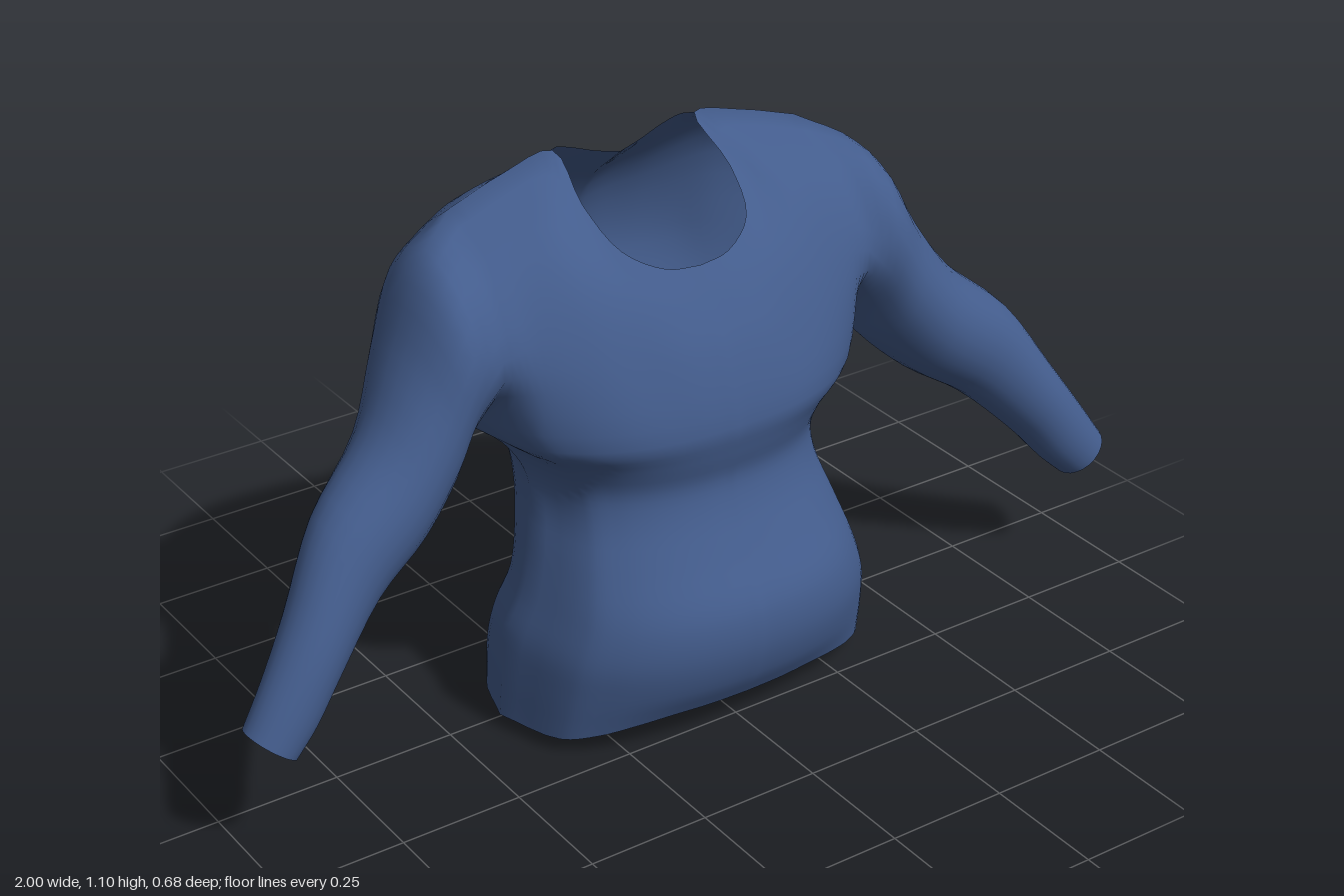
import * as THREE from 'three';
import { mergeGeometries, mergeVertices } from 'three/addons/utils/BufferGeometryUtils.js';

const STEPS = 4; // subdivisions between neighbouring control points
const V = (x, y, z) => new THREE.Vector3(x, y, z);

// Smooth samples through a list of points
function smooth(points) {
  const curve = new THREE.CatmullRomCurve3(points);
  return curve.getPoints((points.length - 1) * STEPS);
}

// Turn control rows into a finer grid, grid[row][column]
function refine(rows) {
  const wide = rows.map(smooth);
  const columns = wide[0].map((_, j) => smooth(wide.map((row) => row[j])));
  return columns[0].map((_, i) => columns.map((column) => column[i]));
}

// Skin a grid of points; flip reverses the facing
function skin(grid, flip) {
  const cols = grid[0].length;
  const index = [];
  for (let i = 0; i < grid.length - 1; i++) {
    for (let j = 0; j < cols - 1; j++) {
      const a = i * cols + j, b = a + 1, c = a + cols, d = c + 1;
      index.push(...(flip ? [a, d, b, a, c, d] : [a, b, d, a, d, c]));
    }
  }
  const geometry = new THREE.BufferGeometry().setFromPoints(grid.flat());
  return geometry.setIndex(index);
}

// Body sections from hem to armpit: height, half width, front z, back z, side z
const bodyRows = [
  [0.03, 0.405, 0.285, -0.205, 0.03],
  [0.13, 0.397, 0.318, -0.208, 0.03],
  [0.21, 0.385, 0.338, -0.18, 0.03],
  [0.29, 0.355, 0.33, -0.157, 0.04],
  [0.38, 0.325, 0.28, -0.19, 0.03],
  [0.46, 0.303, 0.24, -0.23, 0],
  [0.52, 0.305, 0.226, -0.26, -0.02],
  [0.58, 0.34, 0.24, -0.288, -0.04],
  [0.64, 0.41, 0.25, -0.313, -0.06],
];
const spread = [0, 0.2, 0.4, 0.58, 0.74, 0.88, 1];

// Wavy hem heights from the centre to the side
const frontHem = [0.072, 0.072, 0.07, 0.06, 0.045, 0.033, 0.03];
const backHem = [0.066, 0.042, 0.012, 0.003, 0.006, 0.02, 0.03];

function lowerRows(front) {
  return bodyRows.map(([y, w, zf, zb, zs], r) => spread.map((f, k) => {
    const bulge = Math.pow(1 - Math.pow(f, 2.3), 1 / 2.3);
    const spine = front ? 0 : 0.025 * Math.exp(-Math.pow((f * w) / 0.06, 2));
    const height = r > 0 ? y : (front ? frontHem : backHem)[k];
    return V(f * w, height, zs + ((front ? zf : zb) - zs) * bulge + spine);
  }));
}

// Chest, collar and shoulder rows of the front and back, centre to side
const frontUpper = [
  [[0, 0.78, 0.21], [0.09, 0.78, 0.206], [0.17, 0.78, 0.19], [0.24, 0.79, 0.17],
    [0.3, 0.8, 0.145], [0.36, 0.8, 0.12], [0.415, 0.79, 0.1]],
  [[0, 0.87, 0.155], [0.08, 0.87, 0.155], [0.16, 0.89, 0.135], [0.225, 0.94, 0.09],
    [0.27, 0.985, 0.045], [0.34, 0.975, 0.03], [0.41, 0.95, 0.035]],
  [[0, 0.92, 0.12], [0.07, 0.927, 0.11], [0.14, 0.965, 0.07], [0.165, 1.03, -0.02],
    [0.16, 1.1, -0.13], [0.27, 1.08, -0.13], [0.39, 1.045, -0.12]],
];
const backUpper = [
  [[0, 0.78, -0.322], [0.09, 0.78, -0.338], [0.17, 0.78, -0.33], [0.24, 0.78, -0.31],
    [0.3, 0.78, -0.28], [0.36, 0.78, -0.25], [0.42, 0.78, -0.215]],
  [[0, 0.93, -0.275], [0.08, 0.935, -0.293], [0.16, 0.945, -0.288], [0.22, 0.965, -0.272],
    [0.28, 0.98, -0.255], [0.35, 0.97, -0.242], [0.41, 0.95, -0.22]],
  [[0, 1.055, -0.142], [0.05, 1.065, -0.15], [0.1, 1.083, -0.152], [0.14, 1.096, -0.147],
    [0.16, 1.1, -0.13], [0.27, 1.08, -0.13], [0.39, 1.045, -0.12]],
];
const toPoints = (rows) => rows.map((row) => row.map((p) => V(...p)));

// Sleeve sections: upper edge x y, lower edge x y, centre z, half depth
const sleeveRows = [
  [0.495, 0.985, 0.455, 0.637, -0.055, 0.167],
  [0.575, 0.845, 0.495, 0.575, -0.025, 0.145],
  [0.655, 0.72, 0.58, 0.495, 0.02, 0.115],
  [0.786, 0.604, 0.69, 0.425, 0.062, 0.09],
  [0.88, 0.46, 0.8, 0.32, 0.11, 0.073],
  [0.95, 0.355, 0.86, 0.25, 0.135, 0.06],
  [1, 0.28, 0.908, 0.205, 0.147, 0.053],
];

// Left half of the garment: front panel, back panel and sleeve
function buildHalf() {
  const front = refine([...lowerRows(true), ...toPoints(frontUpper)]);
  const back = refine([...lowerRows(false), ...toPoints(backUpper)]);
  const top = front.length - 1;
  const side = front[0].length - 1;
  const armpit = (bodyRows.length - 1) * STEPS;

  // Close the side seam and the shoulder seam
  for (let i = 0; i <= armpit; i++) back[i][side].copy(front[i][side]);
  for (let j = 4 * STEPS; j <= side; j++) back[top][j].copy(front[top][j]);

  // Armhole loop, from the armpit up the front and down the back
  const armhole = [];
  for (let i = armpit; i <= top; i++) armhole.push(front[i][side]);
  for (let i = top - 1; i >= armpit; i--) armhole.push(back[i][side]);

  // Sleeve grows smoothly out of the armhole
  const last = armhole.length - 1;
  const strands = armhole.map((start, k) => {
    const angle = ((k % last) / last) * Math.PI * 2;
    const t = (1 - Math.cos(angle)) / 2;
    return smooth([start, ...sleeveRows.map(([ux, uy, lx, ly, z, depth]) =>
      V(lx + (ux - lx) * t, ly + (uy - ly) * t, z + Math.sin(angle) * depth))]);
  });
  const sleeve = strands[0].map((_, i) => strands.map((strand) => strand[i]));

  return mergeGeometries([skin(front, false), skin(back, true), skin(sleeve, true)]);
}

// Mirror across x = 0, keeping the faces outward
function mirror(geometry) {
  const copy = geometry.clone().scale(-1, 1, 1);
  const index = copy.index.array;
  for (let i = 0; i < index.length; i += 3) {
    [index[i], index[i + 1]] = [index[i + 1], index[i]];
  }
  return copy;
}

export function createModel() {
  const cloth = new THREE.MeshStandardMaterial({ color: 0x435c8c, side: THREE.DoubleSide });
  cloth.name = 'blueCloth';

  const half = buildHalf();
  const geometry = mergeVertices(mergeGeometries([half, mirror(half)]), 1e-4);
  geometry.computeVertexNormals();

  const shirt = new THREE.Mesh(geometry, cloth);
  shirt.name = 'longSleeveShirt';
  const group = new THREE.Group();
  group.name = 'shirt';
  group.add(shirt);
  return group;
}
